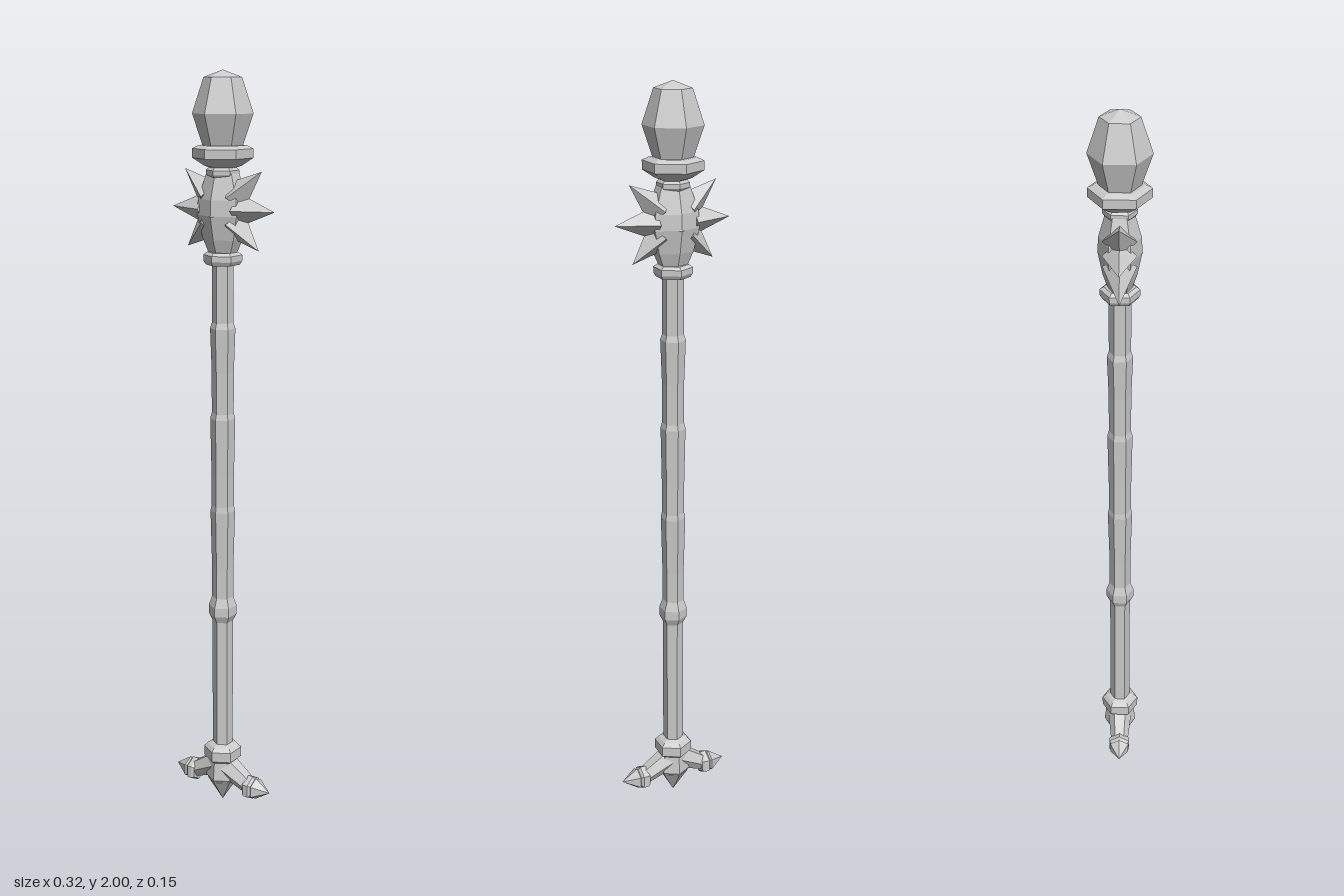
import * as THREE from 'three';

const material = new THREE.MeshStandardMaterial({ color: 0xcccccc, flatShading: true, side: THREE.DoubleSide });

export function createModel() {
  const model = new THREE.Group();

  const add = (name, geometry, parent = model) => {
    const mesh = new THREE.Mesh(geometry, material);
    mesh.name = name;
    parent.add(mesh);
    return mesh;
  };
  // Six-sided turned part from [radius, y] pairs, listed bottom to top
  const turned = (name, profile, parent) =>
    add(name, new THREE.LatheGeometry(profile.map(([r, y]) => new THREE.Vector2(r, y)), 6), parent);

  // Shaft: straight rod with faint grip joints and one knuckle
  turned('shaft', [
    [0.028, 0.12], [0.028, 0.545], [0.038, 0.565], [0.038, 0.59], [0.029, 0.615],
    [0.029, 0.7], [0.033, 0.86], [0.03, 0.875], [0.03, 0.96], [0.033, 1.115],
    [0.029, 1.13], [0.029, 1.24], [0.033, 1.355], [0.028, 1.37], [0.028, 1.58],
  ]);
  turned('lowerStarRing', [[0.02, 1.52], [0.044, 1.52], [0.05, 1.53], [0.05, 1.545], [0.04, 1.552], [0.02, 1.552]]);

  // Star: faceted core with six spikes lying in the front plane
  const star = new THREE.Group();
  star.name = 'spikedStar';
  star.position.y = 1.66;
  model.add(star);
  const core = turned('starCore', [[0.03, -0.11], [0.042, -0.075], [0.054, -0.015], [0.052, 0.025], [0.034, 0.09]], star);
  core.scale.x = 1.3;
  const spikes = [[0, 0.157], [39.5, 0.153], [-42, 0.149]];
  for (const [degrees, reach] of spikes) {
    for (const side of [-1, 1]) {
      const length = reach - 0.05;
      const geometry = new THREE.ConeGeometry(0.042, length, 4);
      geometry.translate(0, 0.05 + length / 2, 0);
      const spike = add('starSpike', geometry, star);
      spike.rotation.z = -side * THREE.MathUtils.degToRad(90 - degrees);
    }
  }
  // Low bosses on the star's two faces
  for (const side of [-1, 1]) {
    const boss = add('starBoss', new THREE.ConeGeometry(0.042, 0.025, 4), star);
    boss.rotation.x = side * Math.PI / 2;
    boss.position.set(0, -0.015, side * 0.043);
  }

  // Neck, collar and bud-shaped head
  turned('neckRing', [[0.02, 1.738], [0.036, 1.738], [0.042, 1.746], [0.042, 1.757], [0.034, 1.765], [0.034, 1.78]]);
  turned('collar', [[0.034, 1.763], [0.048, 1.768], [0.077, 1.787], [0.077, 1.81], [0.06, 1.818], [0, 1.818]]);
  turned('head', [[0.05, 1.815], [0.077, 1.895], [0.048, 1.982], [0, 2]]);

  // Foot: ring, flared socket and downward point
  turned('footRing', [[0.028, 0.18], [0.042, 0.174], [0.052, 0.164], [0.052, 0.136], [0.042, 0.128], [0, 0.128]].reverse());
  turned('footSocket', [[0.03, 0.05], [0.046, 0.075], [0.04, 0.132]]);
  turned('footPoint', [[0, 0], [0.043, 0.068], [0, 0.075]]);

  // Mirrored side prongs: sloping arm, band and outward point
  for (const side of [-1, 1]) {
    const prong = new THREE.Group();
    prong.name = side > 0 ? 'leftProng' : 'rightProng';
    model.add(prong);
    const start = new THREE.Vector3(side * 0.015, 0.11, 0);
    const end = new THREE.Vector3(side * 0.092, 0.068, 0);
    const arm = add('prongArm', new THREE.CylinderGeometry(0.024, 0.034, start.distanceTo(end), 6), prong);
    arm.position.copy(start).lerp(end, 0.5);
    arm.quaternion.setFromUnitVectors(new THREE.Vector3(0, 1, 0), end.clone().sub(start).normalize());
    const tip = turned('prongTip', [
      [0, 0.083], [0.029, 0.083], [0.034, 0.09], [0.034, 0.103], [0.026, 0.109], [0.031, 0.113], [0, 0.159],
    ], prong);
    tip.rotation.set(0, Math.PI / 6, 0);
    tip.rotation.order = 'ZYX';
    tip.rotation.z = -side * Math.PI / 2;
    tip.position.y = 0.066;
  }

  return model;
}
